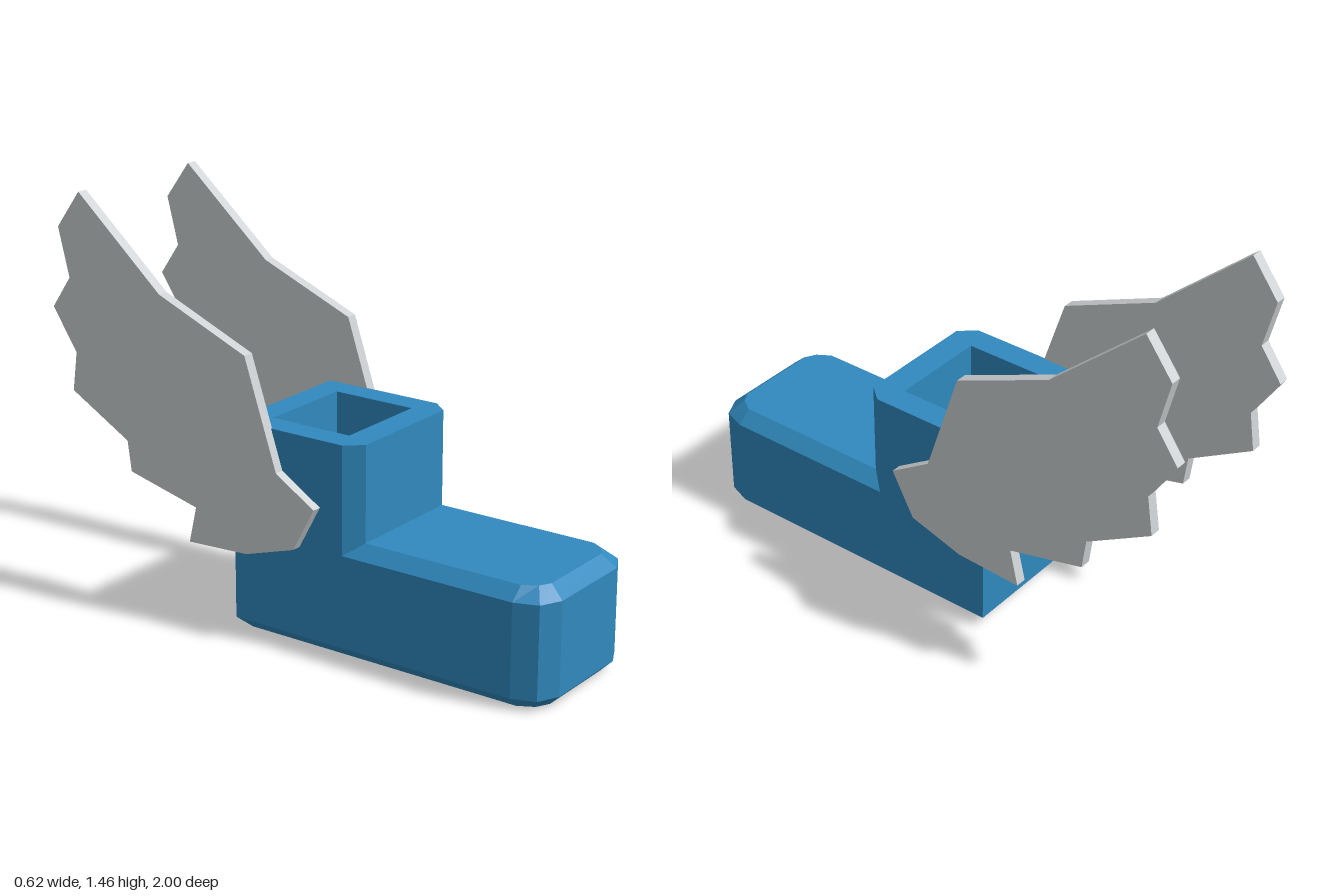
import * as THREE from 'three';

const blue = new THREE.MeshStandardMaterial({ color: 0x3089be, flatShading: true });
blue.name = 'bootBlue';
const silver = new THREE.MeshStandardMaterial({ color: 0xced2d4, flatShading: true });
silver.name = 'wingSilver';

const BACK = -0.23, HALF = 0.275;

// Horizontal outline of the foot at height y, shrunk by inset
function footRing(y, inset, back) {
  const half = [
    [HALF - inset, back],
    [HALF - inset, 0.88],
    [0.245 - inset, 0.963 - 0.7 * inset],
    [0.17 - 0.3 * inset, 1 - inset],
  ];
  const mirrored = half.map(([x, z]) => [-x, z]).reverse();
  return [...half, ...mirrored].map(([x, z]) => [x, y, z]);
}

// Skin a stack of rings and close both ends
function loft(rings) {
  const pos = [];
  const tri = (a, b, c) => pos.push(...a, ...b, ...c);
  const n = rings[0].length;
  for (let r = 0; r < rings.length - 1; r++) {
    for (let i = 0; i < n; i++) {
      const j = (i + 1) % n;
      const low = rings[r], high = rings[r + 1];
      tri(low[i], high[i], low[j]);
      tri(high[i], high[j], low[j]);
    }
  }
  const bottom = rings[0], top = rings[rings.length - 1];
  for (let i = 1; i < n - 1; i++) {
    tri(bottom[0], bottom[i], bottom[i + 1]);
    tri(top[0], top[i + 1], top[i]);
  }
  const geo = new THREE.BufferGeometry();
  geo.setAttribute('position', new THREE.Float32BufferAttribute(pos, 3));
  geo.computeVertexNormals();
  return geo;
}

const toPoints = (list) => list.map(([a, b]) => new THREE.Vector2(a, b));

export function createModel() {
  const model = new THREE.Group();
  model.name = 'wingedBoot';

  const add = (name, geometry, material) => {
    const mesh = new THREE.Mesh(geometry, material);
    mesh.name = name;
    model.add(mesh);
    return mesh;
  };

  // Foot with bevelled sole and upper edge
  add('foot', loft([
    footRing(0, 0.04, BACK + 0.04),
    footRing(0.04, 0, BACK),
    footRing(0.37, 0, BACK),
    footRing(0.413, 0.05, BACK),
  ]), blue);

  // Ankle shaft with a rectangular opening; shape y is -z
  const shaft = new THREE.Shape(toPoints([
    [-HALF, -BACK], [-HALF, -0.22], [-0.225, -0.28],
    [0.225, -0.28], [HALF, -0.22], [HALF, -BACK],
  ]));
  shaft.holes.push(new THREE.Path(toPoints([
    [-0.18, 0.135], [0.18, 0.135], [0.18, -0.18], [-0.18, -0.18],
  ])));
  const shaftGeo = new THREE.ExtrudeGeometry(shaft, { depth: 0.385, bevelEnabled: false });
  shaftGeo.rotateX(-Math.PI / 2);
  add('ankleShaft', shaftGeo, blue).position.y = 0.37;

  // Feathered wing outline as (z, y), cut from a flat plate
  const wing = new THREE.Shape(toPoints([
    [-0.865, 1.455], [-0.965, 1.32], [-0.92, 1.145], [-1, 1.03],
    [-0.9, 0.88], [-0.92, 0.738], [-0.675, 0.6], [-0.66, 0.49],
    [-0.372, 0.42], [-0.403, 0.288], [-0.155, 0.3], [0.045, 0.362],
    [0.13, 0.52], [-0.025, 0.617], [-0.152, 1], [-0.515, 1.15],
  ]));
  const wingGeo = new THREE.ExtrudeGeometry(wing, { depth: 0.04, bevelEnabled: false });
  wingGeo.rotateY(-Math.PI / 2);
  wingGeo.translate(0.02, 0, 0);
  for (const [name, side] of [['leftWing', 1], ['rightWing', -1]]) {
    add(name, wingGeo, silver).position.x = 0.29 * side;
  }

  return model;
}
